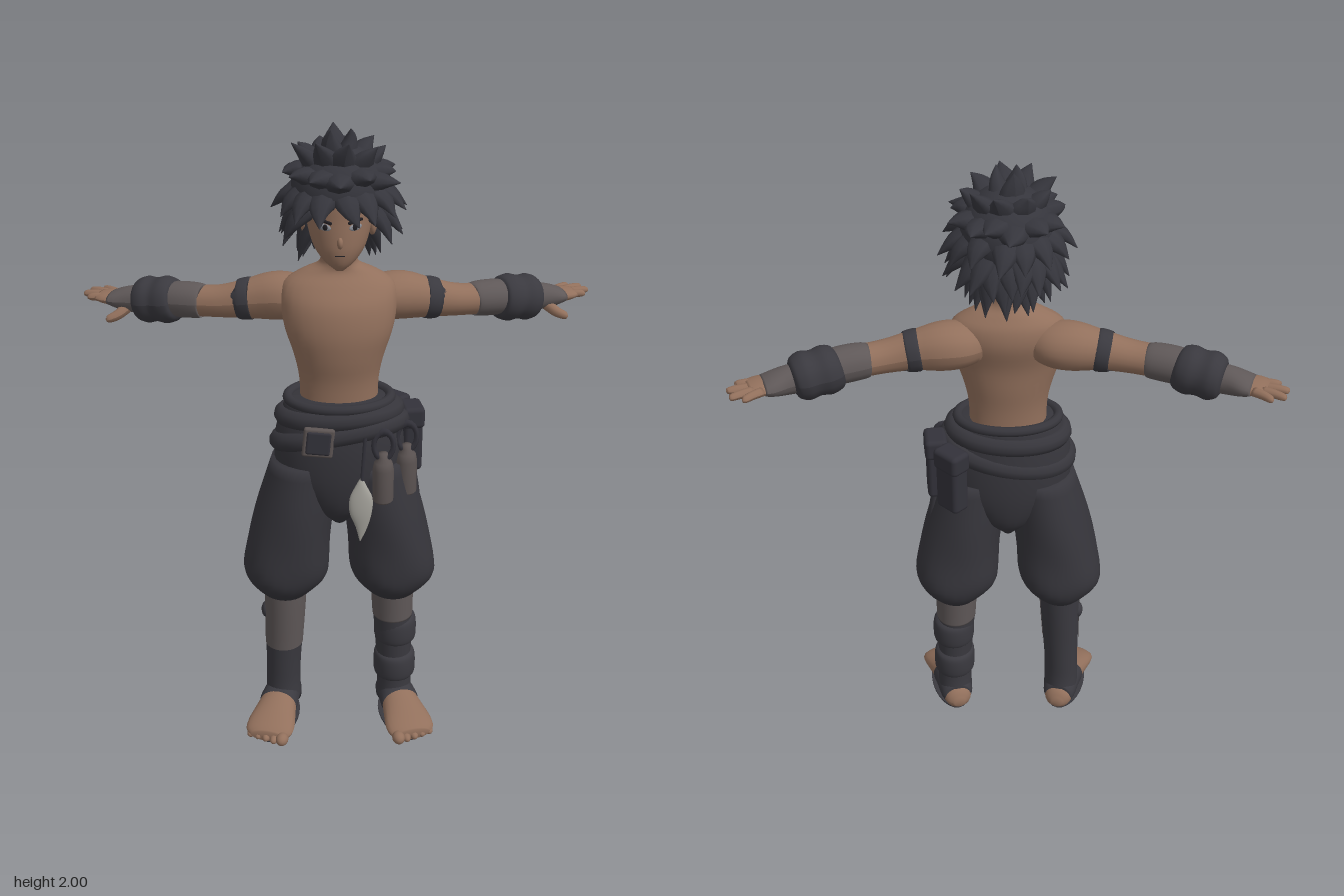
import * as THREE from 'three';
import { mergeGeometries } from 'three/addons/utils/BufferGeometryUtils.js';
import { RoundedBoxGeometry } from 'three/addons/geometries/RoundedBoxGeometry.js';

const V = (x, y, z) => new THREE.Vector3(x, y, z);
const X = V(1, 0, 0), Y = V(0, 1, 0), Z = V(0, 0, 1);

function material(name, color, side = THREE.FrontSide) {
  const m = new THREE.MeshStandardMaterial({ color, side });
  m.name = name;
  return m;
}

// Smooth skin over elliptical sections [x, y, z, across, along ref]; axis fixes the ring plane.
function loft(secs, { axis = null, ref = Y, n = 20, sub = 4, from = 0, to = Math.PI * 2, wave = 0 } = {}) {
  const path = new THREE.CatmullRomCurve3(secs.map(s => V(s[0], s[1], s[2])), false, 'catmullrom', 0.5);
  const size = new THREE.CatmullRomCurve3(secs.map(s => V(s[3], s[4] ?? s[3], 0)), false, 'catmullrom', 0.5);
  const rows = (secs.length - 1) * sub, closed = to - from > 6.28, pos = [], idx = [];
  for (let i = 0; i <= rows; i++) {
    const c = path.getPoint(i / rows), r = size.getPoint(i / rows);
    const t = axis ? axis.clone() : path.getTangent(i / rows);
    const v = ref.clone().addScaledVector(t, -ref.dot(t)).normalize(), u = v.clone().cross(t);
    for (let j = 0; j <= n; j++) {
      const a = from + (to - from) * j / n;
      const k = 1 + wave * Math.sin(a * 4 + i * 0.35) * Math.sin(Math.PI * i / rows);
      const p = c.clone().addScaledVector(u, Math.max(r.x, 0.001) * k * Math.cos(a))
        .addScaledVector(v, Math.max(r.y, 0.001) * k * Math.sin(a));
      pos.push(p.x, p.y, p.z);
    }
  }
  const w = n + 1;
  for (let i = 0; i < rows; i++) for (let j = 0; j < n; j++) {
    const a = i * w + j, b = a + 1, c = b + w, d = a + w;
    idx.push(a, b, c, a, c, d);
  }
  if (closed) {
    for (const end of [0, rows]) {
      const c = path.getPoint(end / rows), k = pos.length / 3;
      pos.push(c.x, c.y, c.z);
      for (let j = 0; j < n; j++) {
        const a = end * w + j;
        if (end) idx.push(k, a, a + 1); else idx.push(k, a + 1, a);
      }
    }
  }
  const g = new THREE.BufferGeometry();
  g.setAttribute('position', new THREE.Float32BufferAttribute(pos, 3));
  g.setIndex(idx);
  g.computeVertexNormals();
  return g;
}
const UP = { axis: Y, ref: Z, n: 28 };

export function createModel() {
  const root = new THREE.Group();
  const skin = material('skin', 0x92705c), hairMat = material('hair', 0x35353c, THREE.DoubleSide);
  const cloth = material('trouser cloth', 0x36353b), wrap = material('dark wrap', 0x3a393f);
  const grey = material('grey bandage', 0x5f5858, THREE.DoubleSide), leather = material('pouch leather', 0x33323a);
  const flask = material('flask', 0x5b5352), feather = material('feather', 0xa3a19a);
  const ink = material('ink', 0x201e22), eyeMat = material('eye', 0x8d9098);
  const add = (name, geo, mat, parent = root) => {
    const m = new THREE.Mesh(geo, mat);
    m.name = name;
    parent.add(m);
    return m;
  };
  const blob = (name, mat, p, s, parent) => {
    const m = add(name, new THREE.SphereGeometry(1, 16, 12), mat, parent);
    m.position.set(...p);
    m.scale.set(...s);
    return m;
  };
  const box = (name, mat, p, s, round = 0.012) => {
    const m = add(name, new RoundedBoxGeometry(...s, 2, round), mat);
    m.position.set(...p);
    return m;
  };

  // Torso, neck and head
  add('torso', loft([[0, 1.14, 0.045, 0.12, 0.085], [0, 1.24, 0.048, 0.122, 0.088], [0, 1.32, 0.052, 0.138, 0.1],
    [0, 1.4, 0.052, 0.163, 0.107], [0, 1.48, 0.035, 0.175, 0.11], [0, 1.535, 0.02, 0.165, 0.09],
    [0, 1.57, 0.015, 0.115, 0.065], [0, 1.595, 0.022, 0.062, 0.055], [0, 1.63, 0.03, 0.054, 0.054],
    [0, 1.69, 0.035, 0.056, 0.056]], UP), skin);
  add('head', loft([[0, 1.602, 0.125, 0.014, 0.02], [0, 1.625, 0.108, 0.045, 0.052], [0, 1.66, 0.085, 0.073, 0.084],
    [0, 1.7, 0.07, 0.088, 0.1], [0, 1.75, 0.055, 0.098, 0.113], [0, 1.81, 0.05, 0.103, 0.115],
    [0, 1.87, 0.04, 0.085, 0.1], [0, 1.91, 0.04, 0.04, 0.05]], UP), skin);
  blob('nose', skin, [0, 1.69, 0.168], [0.009, 0.017, 0.013]);
  box('mouth', ink, [0, 1.652, 0.166], [0.028, 0.003, 0.006], 0.001);
  for (const s of [1, -1]) {
    blob('ear', skin, [s * 0.098, 1.715, 0.04], [0.014, 0.034, 0.022]);
    const eye = blob('eye', eyeMat, [s * 0.044, 1.735, 0.16], [0.02, 0.01, 0.004]);
    eye.rotation.set(0, s * 0.42, s * 0.15);
    blob('iris', ink, [s * 0.042, 1.735, 0.163], [0.008, 0.009, 0.004]).rotation.y = s * 0.42;
    const brow = box('brow', ink, [s * 0.044, 1.752, 0.161], [0.046, 0.008, 0.009], 0.003);
    brow.rotation.set(0, s * 0.42, s * 0.25);
  }

  // Hair: a cap tilted back plus rows of bent spikes
  let seed = 11;
  const rnd = () => (seed = (seed * 16807) % 2147483647) / 2147483647;
  const centre = V(0, 1.81, 0.035), radii = V(0.142, 0.135, 0.152);
  const cap = add('hairCap', new THREE.SphereGeometry(1, 28, 18, 0, Math.PI * 2, 0, 1.9), hairMat);
  cap.position.copy(centre);
  cap.scale.copy(radii);
  cap.geometry.rotateX(-0.38);
  const spikes = [];
  // [elevation, count, length, width, droop, smallest angle from the front]
  for (const [el, count, len, wide, droop, gap] of [[78, 3, 0.06, 0.045, 0, 0], [50, 9, 0.06, 0.048, 0.005, 0],
    [26, 13, 0.062, 0.05, 0.03, 0], [4, 15, 0.058, 0.045, 0.062, 0], [-22, 15, 0.055, 0.045, 0.06, 62],
    [-48, 13, 0.05, 0.042, 0.07, 95]]) {
    for (let i = 0; i < count; i++) {
      const half = 180 - gap;
      const deg = gap ? 180 - half + 2 * half * i / (count - 1) : 360 * i / count + el;
      const a = THREE.MathUtils.degToRad(deg + (rnd() - 0.5) * 12);
      const e = THREE.MathUtils.degToRad(el + (rnd() - 0.5) * 10);
      const d = V(Math.sin(a) * Math.cos(e), Math.sin(e), Math.cos(a) * Math.cos(e));
      const L = len * (0.75 + rnd() * 0.4), side = V(Math.cos(a), 0, -Math.sin(a)), sway = (rnd() - 0.5) * 0.05;
      const at = (k, out, drop, sw) => centre.clone().add(d.clone().multiply(radii).multiplyScalar(k))
        .addScaledVector(d, out).addScaledVector(Y, -drop).addScaledVector(side, sw).toArray();
      spikes.push(loft([[...at(0.82, 0, 0, 0), wide * 0.7, wide], [...at(1, L * 0.3, droop * 0.35, sway * 0.2), wide * 0.42, wide * 0.68],
        [...at(1, L, droop, sway), 0.001, 0.001]], { ref: side, n: 8, sub: 3 }));
    }
  }
  add('hairSpikes', mergeGeometries(spikes), hairMat);

  // Trousers: hips, two billowing legs, rolled cloth at the waist
  add('trouserHips', loft([[0, 0.77, 0.05, 0.03, 0.07], [0, 0.83, 0.052, 0.11, 0.115], [0, 0.92, 0.055, 0.19, 0.135],
    [0, 1.02, 0.058, 0.203, 0.138], [0, 1.1, 0.06, 0.192, 0.13], [0, 1.185, 0.062, 0.163, 0.115]], UP), cloth);
  const roll = (name, y, rx, rz, r, tiltX, tiltZ) => {
    const pts = Array.from({ length: 16 }, (_, i) => {
      const c = Math.cos(i * Math.PI / 8), s = Math.sin(i * Math.PI / 8);
      return V(rx * c, y + tiltX * c + tiltZ * s, 0.06 + rz * s);
    });
    add(name, new THREE.TubeGeometry(new THREE.CatmullRomCurve3(pts, true), 64, r, 10, true), cloth);
  };
  roll('waistRim', 1.182, 0.158, 0.112, 0.016, 0, -0.005);
  roll('waistRoll', 1.135, 0.17, 0.108, 0.032, 0.01, 0.005);
  roll('sashRoll', 1.072, 0.185, 0.112, 0.034, 0.035, 0.022);
  for (const s of [1, -1]) {
    add('trouserLeg', loft([[s * 0.176, 0.482, 0.035, 0.068, 0.08], [s * 0.176, 0.5, 0.036, 0.09, 0.104],
      [s * 0.175, 0.545, 0.038, 0.128, 0.138], [s * 0.172, 0.6, 0.04, 0.142, 0.152], [s * 0.16, 0.7, 0.047, 0.134, 0.147],
      [s * 0.138, 0.83, 0.052, 0.122, 0.141], [s * 0.112, 0.98, 0.056, 0.1, 0.125]], { ...UP, wave: 0.025 }), cloth);
    // Calf and foot
    const calf = k => [[s * 0.19, 0.05, 0.02, 0.06, 0.068], [s * 0.19, 0.12, 0.022, 0.058, 0.06],
      [s * 0.188, 0.2, 0.024, 0.058, 0.062], [s * 0.184, 0.3, 0.027, 0.062, 0.067], [s * 0.179, 0.42, 0.03, 0.066, 0.075],
      [s * 0.176, 0.52, 0.032, 0.069, 0.08]].map(r => [r[0], r[1], r[2], r[3] * k, r[4] * k]);
    add('calfWrap', loft(calf(1), UP), wrap);
    if (s > 0) {
      add('kneeBandage', loft(calf(1.04).slice(4).map((r, i) => i ? r : [0.18, 0.385, 0.03, 0.067, 0.075]), UP), grey);
      for (const y of [0.325, 0.185]) {
        add('shinCuff', loft([[0.19, y - 0.045, 0.024, 0.055, 0.058], [0.19, y - 0.035, 0.024, 0.068, 0.073],
          [0.19, y, 0.024, 0.071, 0.078], [0.189, y + 0.04, 0.024, 0.068, 0.075], [0.188, y + 0.055, 0.024, 0.055, 0.06]], UP), wrap);
      }
    } else {
      add('shinBandage', loft(calf(1.03).slice(3).map((r, i) => i ? r : [-0.185, 0.275, 0.026, 0.063, 0.068]),
        { ...UP, from: -0.15, to: Math.PI + 0.15 }), grey);
      blob('shinKnot', wrap, [-0.243, 0.4, 0.03], [0.016, 0.028, 0.025]);
    }
    const foot = new THREE.Group();
    foot.name = 'foot';
    foot.position.set(s * 0.188, 0, 0);
    foot.rotation.y = s * 0.24;
    root.add(foot);
    const zed = { axis: Z, ref: Y, n: 24 };
    add('footSkin', loft([[0, 0.036, -0.066, 0.018, 0.015], [0, 0.044, -0.045, 0.044, 0.04], [0, 0.052, 0, 0.054, 0.048],
      [0, 0.058, 0.06, 0.058, 0.055], [0, 0.049, 0.12, 0.069, 0.046], [0, 0.038, 0.18, 0.08, 0.035],
      [0, 0.03, 0.215, 0.076, 0.027], [0, 0.026, 0.235, 0.055, 0.018]], zed), skin, foot);
    add('footWrap', loft([[0, 0.05, -0.04, 0.045, 0.045], [0, 0.055, -0.02, 0.056, 0.052], [0, 0.062, 0.04, 0.062, 0.059],
      [0, 0.056, 0.085, 0.065, 0.054], [0, 0.05, 0.095, 0.055, 0.045]], zed), wrap, foot);
    for (let i = 0; i < 5; i++) {
      const r = i ? 0.015 : 0.021;
      blob('toe', skin, [s * (-0.052 + i * 0.028), r + 0.004, 0.236 - i * 0.007], [r, r, 0.026], foot);
    }
    const sole = add('sole', new THREE.CylinderGeometry(1, 1, 0.006, 24), wrap, foot);
    sole.scale.set(0.068, 1, 0.14);
    sole.position.set(0, 0.003, 0.09);
  }

  // Arms, bands, cuffs and hands
  for (const s of [1, -1]) {
    const limb = (name, mat, rows, n = 20) =>
      add(name, loft(rows.map(([x, y, z, a, b]) => [s * x, y, z, a, b]), { n, ref: Y }), mat);
    limb('upperArm', skin, [[0.09, 1.475, -0.005, 0.06, 0.055], [0.14, 1.477, -0.02, 0.078, 0.07], [0.2, 1.475, -0.03, 0.076, 0.073],
      [0.28, 1.464, -0.036, 0.058, 0.06], [0.36, 1.453, -0.05, 0.052, 0.05], [0.44, 1.448, -0.073, 0.05, 0.048]]);
    limb('armBand', wrap, [[0.262, 1.466, -0.034, 0.056, 0.056], [0.266, 1.466, -0.035, 0.064, 0.065],
      [0.3, 1.461, -0.039, 0.06, 0.062], [0.304, 1.461, -0.04, 0.05, 0.05]]);
    limb('forearmBandage', grey, [[0.412, 1.449, -0.064, 0.044, 0.044], [0.42, 1.449, -0.067, 0.054, 0.053],
      [0.48, 1.447, -0.088, 0.057, 0.056], [0.56, 1.44, -0.12, 0.052, 0.052]]);
    limb('forearmCuff', wrap, [[0.49, 1.445, -0.092, 0.045, 0.05], [0.503, 1.443, -0.098, 0.066, 0.066], [0.53, 1.44, -0.108, 0.073, 0.074],
      [0.56, 1.437, -0.12, 0.069, 0.068], [0.59, 1.434, -0.131, 0.073, 0.073], [0.615, 1.432, -0.141, 0.064, 0.062],
      [0.625, 1.431, -0.145, 0.045, 0.045]]);
    limb('wristBandage', grey, [[0.59, 1.432, -0.131, 0.044, 0.046], [0.64, 1.43, -0.15, 0.046, 0.042],
      [0.68, 1.428, -0.168, 0.053, 0.032], [0.705, 1.428, -0.178, 0.052, 0.022]]);
    limb('palm', skin, [[0.68, 1.428, -0.168, 0.048, 0.024], [0.72, 1.429, -0.183, 0.05, 0.02], [0.745, 1.43, -0.194, 0.043, 0.014]]);
    // Each finger: root x, z and tip x, z
    for (const [x, z, tx, tz] of [[0.7, -0.215, 0.748, -0.262], [0.725, -0.21, 0.787, -0.25],
      [0.738, -0.19, 0.802, -0.213], [0.733, -0.165, 0.785, -0.175]]) {
      limb('finger', skin, [[x, 1.43, z, 0.016, 0.014], [(x + tx) / 2, 1.431, (z + tz) / 2, 0.014, 0.013],
        [tx - 0.006, 1.43, tz + 0.003, 0.011, 0.01], [tx, 1.43, tz, 0.003, 0.003]], 10);
    }
    limb('thumb', skin, [[0.65, 1.415, -0.14, 0.02, 0.02], [0.685, 1.39, -0.116, 0.016, 0.016],
      [0.715, 1.378, -0.107, 0.012, 0.012], [0.724, 1.376, -0.106, 0.003, 0.003]], 10);
  }

  // Belt gear: patch, flasks, feather, pouches, cloth tail
  box('beltPatchFrame', flask, [-0.066, 1.085, 0.198], [0.094, 0.094, 0.02], 0.008).rotation.z = -0.1;
  box('beltPatch', leather, [-0.066, 1.085, 0.203], [0.076, 0.076, 0.018], 0.008).rotation.z = -0.1;
  const flaskProfile = [[0, -0.08], [0.026, -0.08], [0.033, -0.072], [0.033, 0.03], [0.028, 0.055], [0.014, 0.07], [0.014, 0.085], [0, 0.085]]
    .map(p => new THREE.Vector2(...p));
  for (const [x, z] of [[0.132, 0.178], [0.208, 0.115]]) {
    add('flask', new THREE.LatheGeometry(flaskProfile, 16), flask).position.set(x, 0.955, z);
    const strap = add('flaskStrap', new THREE.TorusGeometry(0.03, 0.008, 6, 16), leather);
    strap.position.set(x, 1.065, z);
    strap.scale.y = 1.5;
  }
  add('feather', loft([[0.062, 0.752, 0.205, 0.002, 0.002], [0.066, 0.8, 0.206, 0.018, 0.008], [0.063, 0.85, 0.206, 0.034, 0.013],
    [0.064, 0.9, 0.204, 0.035, 0.013], [0.064, 0.945, 0.2, 0.014, 0.01], [0.066, 0.965, 0.198, 0.004, 0.004]], UP), feather);
  add('featherCord', new THREE.TubeGeometry(new THREE.LineCurve3(V(0.066, 0.95, 0.2), V(0.075, 1.1, 0.198)), 2, 0.006, 6), leather);
  for (const [x, z, turn] of [[0.228, 0.015, 0.12], [0.175, -0.075, 0.8]]) {
    box('pouch', leather, [x, 1.02, z], [0.062, 0.2, 0.09], 0.015).rotation.y = turn;
    box('pouchFlap', leather, [x, 1.1, z], [0.072, 0.07, 0.1], 0.015).rotation.y = turn;
  }
  add('clothTail', loft([[0.262, 0.775, 0.012, 0.002, 0.002], [0.245, 0.84, 0.022, 0.014, 0.022], [0.222, 0.94, 0.04, 0.02, 0.03]], UP), cloth);
  return root;
}
